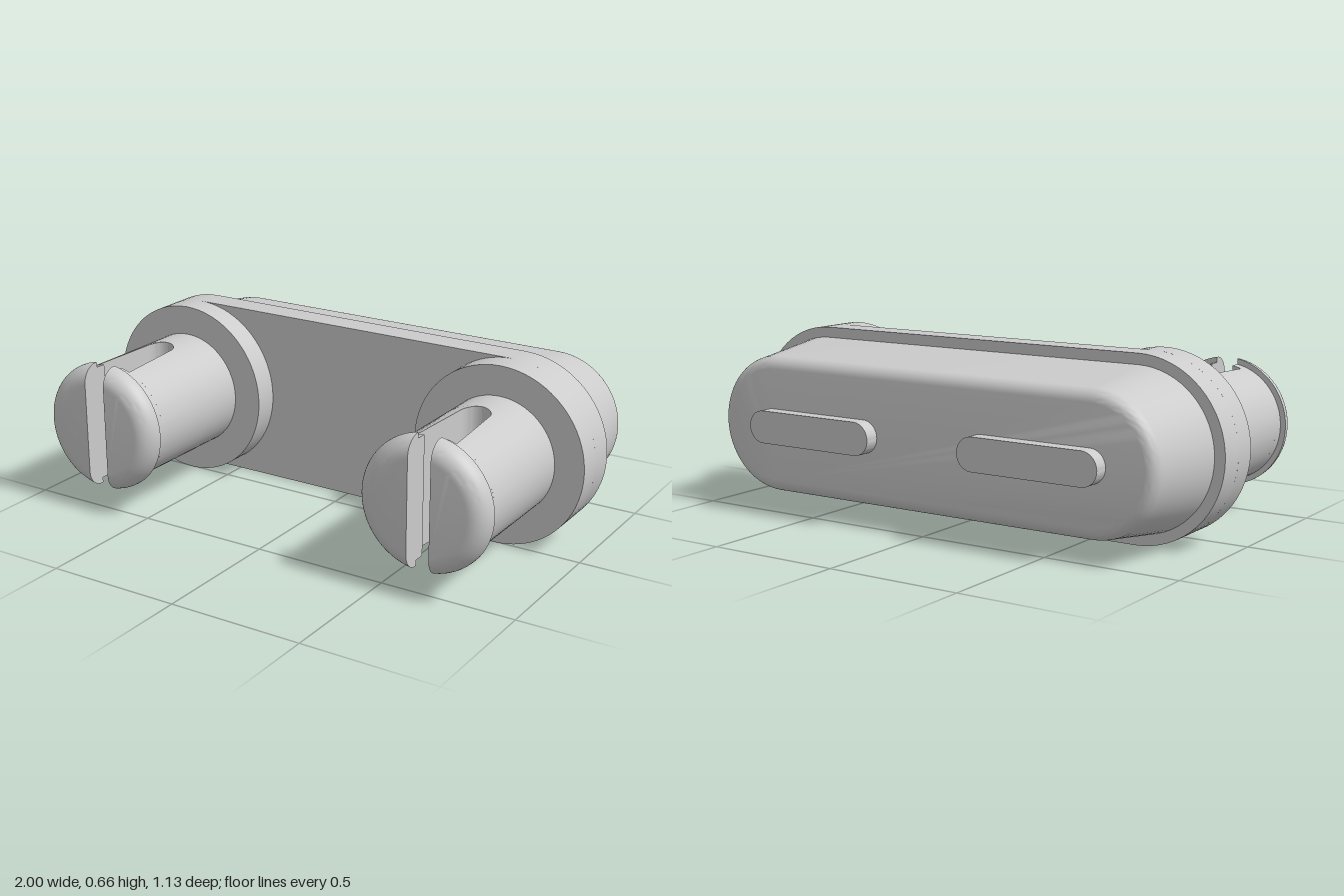
import * as THREE from 'three';
import { toCreasedNormals } from 'three/addons/utils/BufferGeometryUtils.js';

const PEG_X = 0.67, MID_Y = 0.33;
const material = new THREE.MeshStandardMaterial({ color: 0xcccccc });

// Skin a stack of counter-clockwise rings running towards +z, capped at both ends.
function loft(rings) {
  const n = rings[0].length, last = rings.length - 1, index = [];
  for (let k = 0; k < last; k++) {
    for (let i = 0; i < n; i++) {
      const j = (i + 1) % n;
      const a = k * n + i, b = k * n + j, c = b + n, d = a + n;
      index.push(a, b, c, a, c, d);
    }
  }
  for (let i = 1; i < n - 1; i++) {
    index.push(0, i + 1, i);
    index.push(last * n, last * n + i, last * n + i + 1);
  }
  const geometry = new THREE.BufferGeometry();
  geometry.setAttribute('position', new THREE.Float32BufferAttribute(rings.flat(2), 3));
  geometry.setIndex(index);
  return toCreasedNormals(geometry, 0.6);
}

// Stadium outline: two half circles with centres at x = +-half.
function stadium(half, r, z, steps = 32) {
  const ring = [];
  for (const side of [1, -1]) {
    for (let i = 0; i <= steps; i++) {
      const a = -Math.PI / 2 + (Math.PI * i) / steps;
      ring.push([side * (half + r * Math.cos(a)), side * r * Math.sin(a), z]);
    }
  }
  return ring;
}

// Circle segment lying beyond x = s.
function segment(r, s, z, steps = 40) {
  const end = Math.acos(s / r), ring = [];
  for (let i = 0; i <= steps; i++) {
    const a = -end + (2 * end * i) / steps;
    ring.push([r * Math.cos(a), r * Math.sin(a), z]);
  }
  return ring;
}

function add(parent, name, geometry, x = 0, y = 0, z = 0) {
  const mesh = new THREE.Mesh(geometry, material);
  mesh.name = name;
  mesh.position.set(x, y, z);
  parent.add(mesh);
  return mesh;
}

// Solid cylinder along z.
function disc(r, z0, z1) {
  return new THREE.CylinderGeometry(r, r, z1 - z0, 80)
    .rotateX(Math.PI / 2).translate(0, 0, (z0 + z1) / 2);
}

// One springy half of a split peg: shank, slot with an arched root, rounded head.
function prongGeometry() {
  const rings = [];
  const slotRoot = 0.13, arch = 0.056, r = 0.22, gap = 0.042;
  for (let i = 0; i <= 10; i++) {
    const a = (Math.PI / 2) * (i / 10);
    rings.push(segment(r, arch * Math.sin(a), slotRoot + arch * (1 - Math.cos(a))));
  }
  rings.push(segment(r, 0.075, 0.452));
  rings.push(segment(r, gap, 0.452));
  rings.push(segment(r, gap, 0.492));
  rings.push(segment(0.24, gap, 0.492));
  for (let i = 0; i <= 10; i++) {
    const a = (Math.PI / 2) * (i / 10);
    rings.push(segment(0.175 + 0.065 * Math.cos(a), gap, 0.498 + 0.064 * Math.sin(a)));
  }
  return loft(rings);
}

export function createModel() {
  const group = new THREE.Group();
  group.name = 'twinPegConnector';

  // Flange between the housing and the pegs
  add(group, 'flange', loft([stadium(PEG_X, 0.33, -0.19), stadium(PEG_X, 0.33, -0.09)]), 0, MID_Y);

  // Tapered housing with a rounded back edge
  const fillet = 0.045, rings = [];
  for (let i = 0; i <= 8; i++) {
    const a = (Math.PI / 2) * (i / 8);
    rings.push(stadium(PEG_X, 0.207 + fillet * Math.sin(a), -0.51 + fillet * (1 - Math.cos(a))));
  }
  rings.push(stadium(PEG_X, 0.291, -0.19));
  add(group, 'housing', loft(rings), 0, MID_Y);

  const bar = loft([stadium(0.2125, 0.06, -0.565), stadium(0.2125, 0.06, -0.5)]);
  const prong = prongGeometry();
  for (const side of [1, -1]) {
    const label = side > 0 ? 'left' : 'right';

    // Raised bar on the back
    add(group, label + 'BackBar', bar, side * 0.4625, MID_Y);

    // Round boss and split peg
    add(group, label + 'Boss', disc(0.33, -0.09, 0.004), side * PEG_X, MID_Y);
    const peg = new THREE.Group();
    peg.name = label + 'Peg';
    peg.position.set(side * PEG_X, MID_Y, 0);
    add(peg, 'pegBase', disc(0.22, 0, 0.13));
    add(peg, 'outerProng', prong).rotation.z = side > 0 ? 0 : Math.PI;
    add(peg, 'innerProng', prong).rotation.z = side > 0 ? Math.PI : 0;
    group.add(peg);
  }
  return group;
}
